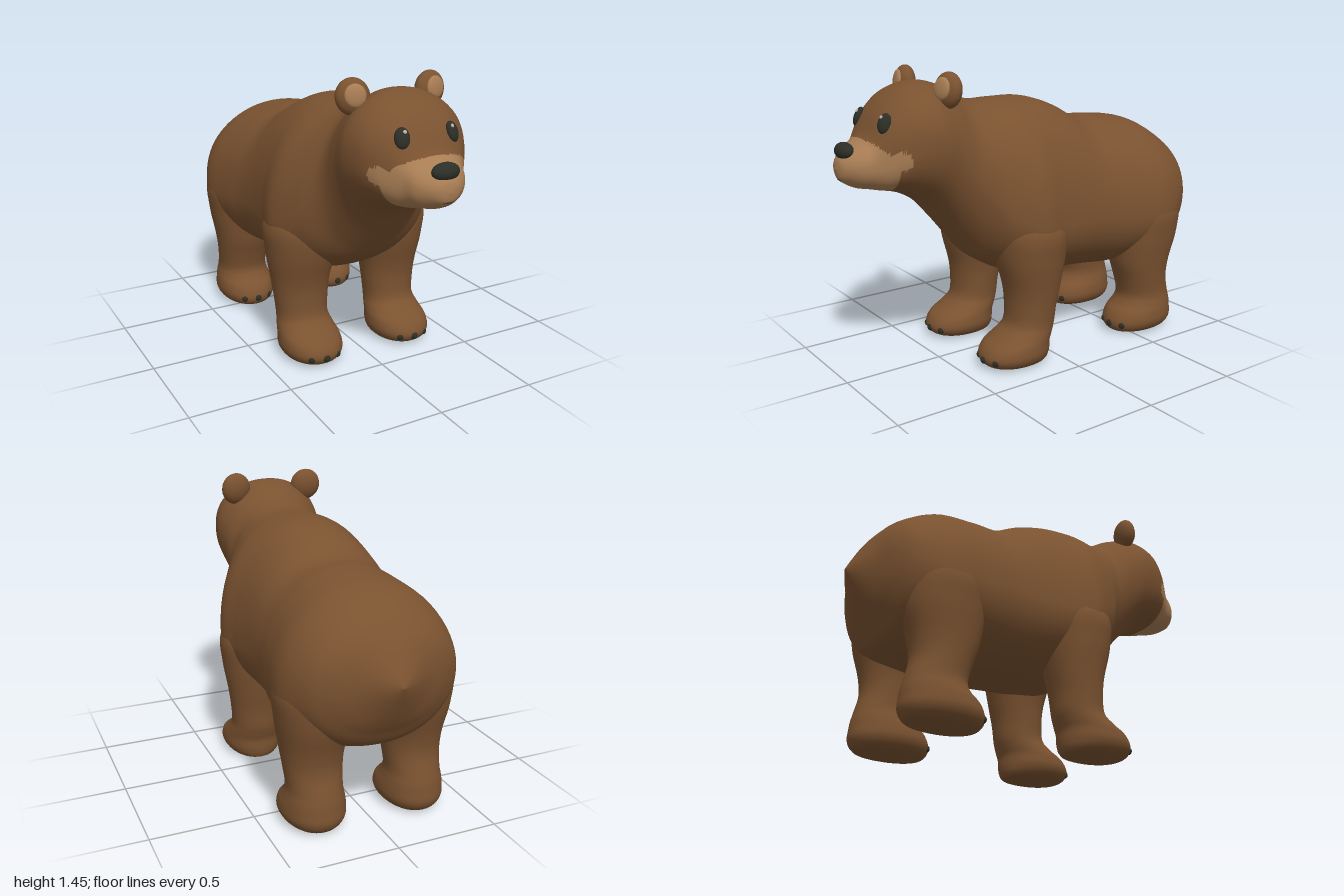
import * as THREE from 'three';

const mat = (name, color) => Object.assign(new THREE.MeshStandardMaterial({ color }), { name });

// Catmull-Rom through rows of numbers, giving a dense smooth list of rows
function smoothRows(rows, steps) {
  const out = [], last = rows.length - 1;
  for (let i = 0; i < last; i++) {
    const [a, b, c, d] = [rows[Math.max(i - 1, 0)], rows[i], rows[i + 1], rows[Math.min(i + 2, last)]];
    for (let s = 0; s < steps; s++) {
      const t = s / steps;
      out.push(b.map((v, k) => v + 0.5 * t * (c[k] - a[k] +
        t * (2 * a[k] - 5 * v + 4 * c[k] - d[k] + t * (3 * (v - c[k]) + d[k] - a[k])))));
    }
  }
  out.push(rows[last]);
  return out;
}

// Point on a unit superellipse
function superPoint(angle, n) {
  const f = (v) => Math.sign(v) * Math.abs(v) ** (2 / n);
  return [f(Math.cos(angle)), f(Math.sin(angle))];
}

// Skin closed rings; pick(x, y, z) chooses the material index of each face
function loft(rings, pick = () => 0) {
  const n = rings[0].length, pos = rings.flat(), lists = [[], []];
  const add = (...tri) => {
    const mid = [0, 1, 2].map((k) => tri.reduce((sum, i) => sum + pos[i][k], 0) / 3);
    lists[pick(...mid)].push(...tri);
  };
  for (let i = 0; i < rings.length - 1; i++) {
    for (let j = 0; j < n; j++) {
      const a = i * n + j, b = i * n + (j + 1) % n;
      add(a, b, a + n);
      add(b, b + n, a + n);
    }
  }
  const g = new THREE.BufferGeometry();
  g.setAttribute('position', new THREE.Float32BufferAttribute(pos.flat(), 3));
  g.setIndex(lists.flat());
  g.addGroup(0, lists[0].length, 0);
  g.addGroup(lists[0].length, lists[1].length, 1);
  g.computeVertexNormals();
  return g;
}

// Body and head: z, bottom y, top y, half width, widest y, squareness
const BODY = [
  [-1.0, 0.77, 0.77, 0, 0.77, 2],
  [-0.97, 0.70, 0.83, 0.07, 0.77, 2],
  [-0.92, 0.60, 0.92, 0.17, 0.77, 2],
  [-0.87, 0.52, 0.985, 0.29, 0.76, 2.1],
  [-0.8, 0.43, 1.05, 0.375, 0.73, 2.1],
  [-0.65, 0.38, 1.13, 0.435, 0.68, 2.1],
  [-0.45, 0.36, 1.16, 0.415, 0.68, 2.1],
  [-0.3, 0.37, 1.17, 0.395, 0.70, 2.1],
  [-0.15, 0.385, 1.245, 0.395, 0.70, 2.1],
  [0, 0.40, 1.29, 0.41, 0.70, 2.1],
  [0.15, 0.42, 1.295, 0.43, 0.72, 2.1],
  [0.3, 0.50, 1.295, 0.36, 0.80, 2.1],
  [0.4, 0.60, 1.33, 0.29, 0.95, 2],
  [0.5, 0.72, 1.385, 0.28, 1.08, 2],
  [0.6, 0.83, 1.405, 0.29, 1.14, 2.1],
  [0.7, 0.89, 1.375, 0.27, 1.14, 2.3],
  [0.77, 0.915, 1.325, 0.235, 1.11, 2.4],
  [0.82, 0.925, 1.265, 0.195, 1.08, 2.6],
  [0.87, 0.935, 1.18, 0.155, 1.06, 2.4],
  [0.92, 0.945, 1.14, 0.13, 1.05, 2.2],
  [0.96, 0.965, 1.115, 0.095, 1.045, 2],
  [0.99, 0.99, 1.08, 0.05, 1.04, 2],
  [1.0, 1.035, 1.035, 0, 1.035, 2],
];

// Legs: y, centre x, half width, centre z, half depth
const FRONT_LEG = [
  [0.01, 0.255, 0, 0.2, 0],
  [0.012, 0.255, 0.09, 0.2, 0.13],
  [0.03, 0.255, 0.13, 0.215, 0.17],
  [0.07, 0.255, 0.152, 0.22, 0.183],
  [0.12, 0.255, 0.15, 0.205, 0.17],
  [0.16, 0.255, 0.14, 0.165, 0.143],
  [0.21, 0.255, 0.13, 0.13, 0.122],
  [0.3, 0.255, 0.137, 0.12, 0.122],
  [0.4, 0.255, 0.15, 0.115, 0.137],
  [0.55, 0.25, 0.178, 0.12, 0.17],
  [0.7, 0.24, 0.19, 0.12, 0.18],
  [0.85, 0.2, 0.12, 0.12, 0.12],
];
const BACK_Z = [
  [-0.6, 0], [-0.6, 0.14], [-0.6, 0.18], [-0.605, 0.195], [-0.615, 0.182], [-0.635, 0.157],
  [-0.64, 0.14], [-0.62, 0.14], [-0.61, 0.162], [-0.62, 0.195], [-0.62, 0.2], [-0.62, 0.13],
];
const BACK_LEG = FRONT_LEG.map(([y, cx, rx], i) => [y, cx, rx, ...BACK_Z[i]]);

function bodyGeometry() {
  const sides = 72;
  const rings = smoothRows(BODY, 8).map(([z, yb, yt, w, yc, n]) =>
    Array.from({ length: sides }, (_, j) => {
      const [c, s] = superPoint(j / sides * Math.PI * 2, n);
      return [c * w, yc + s * (s > 0 ? yt - yc : yc - yb), z];
    }));
  // Pale muzzle with a round patch on each cheek
  return loft(rings, (x, y, z) => {
    const muzzle = z > 0.79 && y < 1.08 + (z - 0.79) * 0.9;
    const cheek = Math.hypot(y - 1.08, z - 0.785) < 0.042 && Math.abs(x) > 0.1;
    return muzzle || cheek ? 1 : 0;
  });
}

function legGeometry(rows, side) {
  const sides = 40;
  return loft(smoothRows(rows, 5).map(([y, cx, rx, cz, rz]) =>
    Array.from({ length: sides }, (_, j) => {
      const [c, s] = superPoint(j / sides * Math.PI * 2, 2.15);
      return [side * cx + c * rx, y, cz - s * rz];
    })));
}

export function createModel() {
  const model = new THREE.Group();
  model.name = 'bear';
  const fur = mat('brown fur', 0x7a5230);
  const pale = mat('pale fur', 0xa87d54);
  const dark = mat('dark nose and eyes', 0x2c2e27);
  const shine = mat('eye shine', 0xb9b3a2);
  const ball = new THREE.SphereGeometry(1, 28, 20);

  const add = (name, geometry, material) => {
    const mesh = new THREE.Mesh(geometry, material);
    mesh.name = name;
    model.add(mesh);
    return mesh;
  };
  const blob = (name, material, position, radii, rotation = [0, 0, 0]) => {
    const mesh = add(name, ball, material);
    mesh.position.set(...position);
    mesh.scale.set(...radii);
    mesh.rotation.set(...rotation);
  };

  add('body', bodyGeometry(), [fur, pale]);
  blob('nose', dark, [0, 1.115, 0.957], [0.068, 0.04, 0.036], [-0.35, 0, 0]);

  // Mouth line
  const smile = new THREE.QuadraticBezierCurve3(
    new THREE.Vector3(-0.035, 0.997, 0.979),
    new THREE.Vector3(0, 0.982, 0.996),
    new THREE.Vector3(0.035, 0.997, 0.979));
  add('mouth', new THREE.TubeGeometry(smile, 12, 0.004, 6), dark);

  for (const side of [1, -1]) {
    const label = side > 0 ? 'left' : 'right';
    const legs = [['Front', FRONT_LEG, 0.395], ['Back', BACK_LEG, -0.418]];
    for (const [end, rows, toeZ] of legs) {
      add(`${label}${end}Leg`, legGeometry(rows, side), fur);
      for (const k of [-1, 0, 1]) {
        blob(`${label}${end}Claw`, dark,
          [side * 0.255 + k * 0.068, 0.06, toeZ - Math.abs(k) * 0.022], [0.02, 0.019, 0.018]);
      }
    }
    // Ears with pale inner pads
    blob(`${label}Ear`, fur, [side * 0.2, 1.372, 0.535], [0.08, 0.084, 0.048], [-0.1, side * 0.15, side * -0.3]);
    blob(`${label}InnerEar`, pale, [side * 0.207, 1.383, 0.572], [0.05, 0.052, 0.016], [-0.15, side * 0.2, side * -0.3]);
    // Eyes
    blob(`${label}Eye`, dark, [side * 0.127, 1.24, 0.819], [0.034, 0.047, 0.022], [-0.4, side * 0.4, side * 0.15]);
    blob(`${label}EyeShine`, shine, [side * 0.12, 1.268, 0.829], [0.009, 0.009, 0.006], [-0.4, side * 0.4, 0]);
  }
  return model;
}
